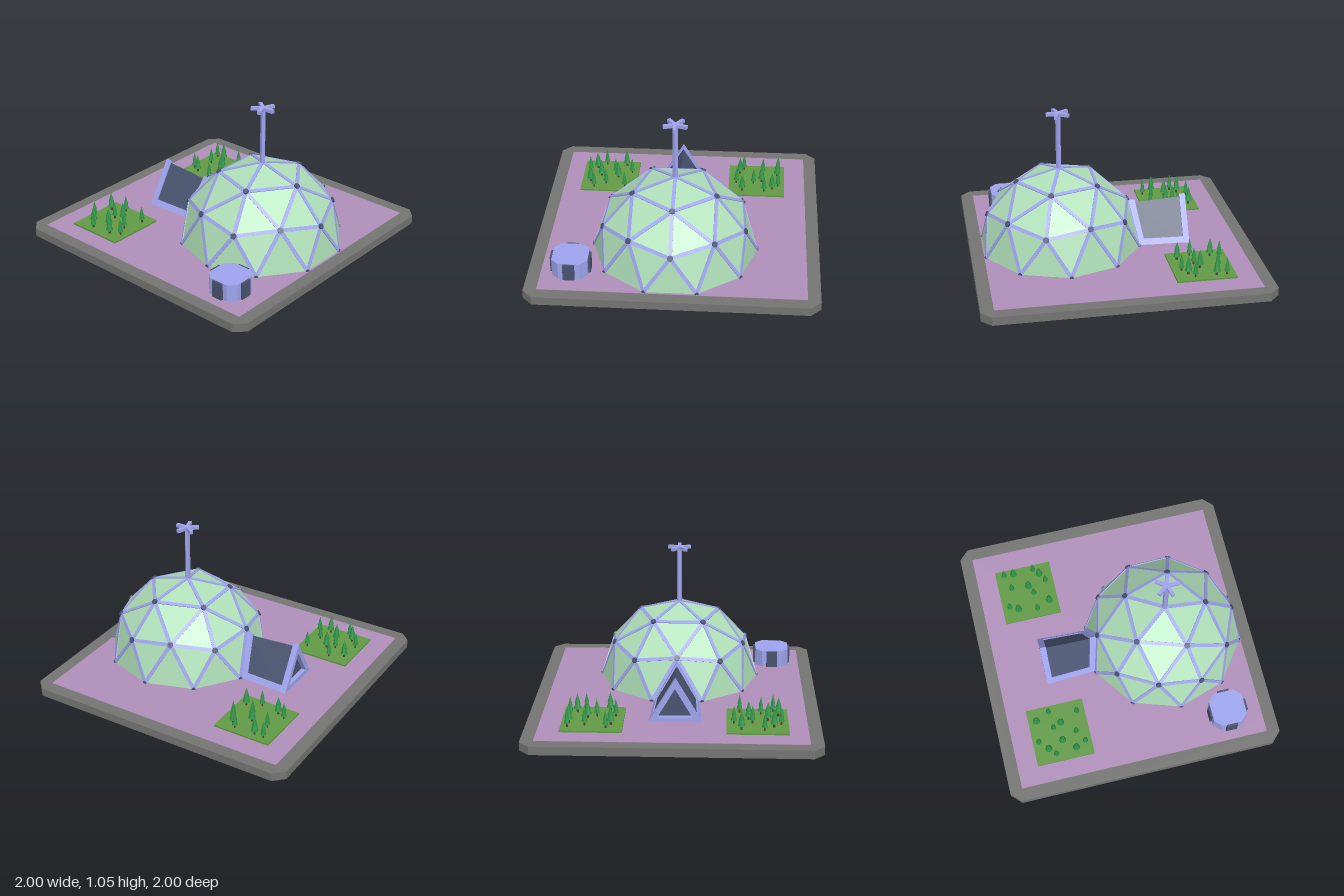
import * as THREE from 'three';
import { ConvexGeometry } from 'three/addons/geometries/ConvexGeometry.js';

const mat = (color) => new THREE.MeshStandardMaterial({ color, flatShading: true });
const M = {
  stone: mat(0x747472), ground: mat(0xb08fba), glass: mat(0xafdfb8), frame: mat(0x9ea4ee),
  dark: mat(0x49536f), lawn: mat(0x619a45), leaf: mat(0x2f9447), trunk: mat(0x5a4030),
};
const V = (x, y, z) => new THREE.Vector3(x, y, z);

function add(parent, name, geo, material, x = 0, y = 0, z = 0) {
  const mesh = new THREE.Mesh(geo, material);
  mesh.name = name;
  mesh.position.set(x, y, z);
  parent.add(mesh);
  return mesh;
}

function group(parent, name, x, y, z) {
  const g = new THREE.Group();
  g.name = name;
  g.position.set(x, y, z);
  parent.add(g);
  return g;
}

// Square slab with cut corners, standing on y = 0
function chamferedSlab(half, cut, height) {
  const a = half, b = half - cut;
  const pts = [[a, -b], [a, b], [b, a], [-b, a], [-a, b], [-a, -b], [-b, -a], [b, -a]];
  const shape = new THREE.Shape(pts.map((p) => new THREE.Vector2(...p)));
  return new THREE.ExtrudeGeometry(shape, { depth: height, bevelEnabled: false }).rotateX(-Math.PI / 2);
}

// Two-frequency geodesic hemisphere with struts on its edges and hubs at its corners
function buildDome(parent) {
  const R = 0.577;
  const dome = group(parent, 'dome', -0.01, 0.064, 0.35);
  const ring = (deg, height) => {
    const a = THREE.MathUtils.degToRad(deg), r = R * Math.sqrt(1 - height * height);
    return V(r * Math.sin(a), R * height, r * Math.cos(a));
  };
  const top = V(0, R, 0), verts = [top], faces = [];
  const upper = [], corner = [], between = [], foot = [];
  for (let k = 0; k < 5; k++) {
    upper.push(ring(72 * k, 0.851));
    corner.push(ring(72 * k, 0.447));
    between.push(ring(72 * k + 36, 0.526));
    foot.push(ring(72 * k - 18, 0), ring(72 * k + 18, 0));
  }
  verts.push(...upper, ...corner, ...between, ...foot);
  for (let k = 0; k < 5; k++) {
    const n = (k + 1) % 5, f0 = foot[2 * k], f1 = foot[2 * k + 1], f2 = foot[2 * n];
    faces.push([top, upper[k], upper[n]], [upper[k], between[k], upper[n]],
      [upper[k], corner[k], between[k]], [upper[n], between[k], corner[n]],
      [corner[k], f0, f1], [corner[k], f1, between[k]],
      [between[k], f1, f2], [between[k], f2, corner[n]]);
  }
  const panels = new THREE.BufferGeometry().setFromPoints(faces.flat());
  panels.computeVertexNormals();
  add(dome, 'domePanels', panels, M.glass).material.side = THREE.DoubleSide;

  const seen = new Set();
  for (const face of faces) {
    for (let i = 0; i < 3; i++) {
      const a = face[i], b = face[(i + 1) % 3];
      const key = [verts.indexOf(a), verts.indexOf(b)].sort((p, q) => p - q).join();
      if (seen.has(key) || (a.y < 0.01 && b.y < 0.01)) continue;
      seen.add(key);
      const along = b.clone().sub(a), mid = a.clone().add(b).multiplyScalar(0.5);
      const length = along.length();
      along.normalize();
      const out = mid.clone().normalize();
      const strut = add(dome, 'domeStrut', new THREE.BoxGeometry(0.025, length, 0.01), M.frame);
      strut.quaternion.setFromRotationMatrix(
        new THREE.Matrix4().makeBasis(along.clone().cross(out), along, out));
      strut.position.copy(mid).addScaledVector(out, -0.002);
    }
  }
  for (const v of verts.slice(1)) {
    const low = v.y < 0.01;
    const hub = add(dome, 'domeHub', new THREE.CylinderGeometry(low ? 0.014 : 0.021, low ? 0.014 : 0.021, 0.014, 8), M.dark);
    hub.position.copy(v);
    hub.quaternion.setFromUnitVectors(V(0, 1, 0), v.clone().normalize());
  }
}

// Mast with a five-armed star on top
function buildMast(parent) {
  const mast = group(parent, 'mast', -0.01, 0, 0.35);
  add(mast, 'mastPole', new THREE.CylinderGeometry(0.019, 0.019, 0.43, 5), M.frame, 0, 0.825, 0);
  for (let k = 0; k < 5; k++) {
    const arm = new THREE.BoxGeometry(0.024, 0.024, 0.085).translate(0, 0, 0.0425).rotateY(k * Math.PI * 0.4);
    add(mast, 'mastArm', arm, M.frame, 0, 1.042, 0);
  }
}

// A-frame entrance joining the back of the dome
function buildEntrance(parent) {
  const g = group(parent, 'entrance', -0.01, 0, 0);
  const tri = (w, y0, y1, zBase, zTop) => [V(-w, y0, zBase), V(w, y0, zBase), V(0, y1, zTop)];
  const hull = (name, material, ...sections) => add(g, name, new ConvexGeometry(sections.flat()), material);
  hull('entrancePanels', M.dark, tri(0.155, 0.065, 0.325, -0.2, -0.16), tri(0.17, 0.065, 0.348, -0.53, -0.53));
  hull('innerFrame', M.frame, tri(0.162, 0.06, 0.35, -0.19, -0.14), tri(0.164, 0.06, 0.35, -0.245, -0.195));
  for (const s of [-1, 1]) {
    const rail = [0.06, 0.1].flatMap((y) => [[-0.2, 0.164], [-0.55, 0.18]].flatMap(([z, w]) => {
      const x = w - (y - 0.06) * 0.57;
      return [V(s * x, y, z), V(s * (x - 0.03), y, z)];
    }));
    hull('entranceRail', M.frame, rail);
  }
  const shape = new THREE.Shape([[-0.182, 0.06], [0.182, 0.06], [0, 0.37]].map((p) => new THREE.Vector2(...p)));
  shape.holes.push(new THREE.Path([[-0.12, 0.095], [0, 0.3], [0.12, 0.095]].map((p) => new THREE.Vector2(...p))));
  add(g, 'doorFrame', new THREE.ExtrudeGeometry(shape, { depth: 0.042, bevelEnabled: false }), M.frame, 0, 0, -0.565);
}

// Small eight-sided hut with a door on each side
function buildHut(parent) {
  const hut = group(parent, 'hut', -0.706, 0.06, 0.661);
  add(hut, 'hutBody', chamferedSlab(0.123, 0.05, 0.125), M.frame);
  for (let k = 0; k < 4; k++) {
    const door = new THREE.BoxGeometry(0.08, 0.122, 0.03).translate(0, 0.061, 0.123).rotateY(k * Math.PI / 2);
    add(hut, 'hutDoor', door, M.dark);
  }
}

// Lawn planted with small conifers; each tree is [x, z, scale]
function buildGarden(parent, x, trees) {
  const garden = group(parent, 'garden', 0, 0, 0);
  add(garden, 'lawn', new THREE.BoxGeometry(0.42, 0.014, 0.42), M.lawn, x, 0.067, -0.555);
  for (const [tx, tz, s] of trees) {
    const tree = group(garden, 'tree', tx, 0.072, tz);
    tree.scale.set(s, 0.8 + 0.2 * s, s);
    add(tree, 'treeTrunk', new THREE.CylinderGeometry(0.007, 0.007, 0.04, 6), M.trunk, 0, 0.02, 0);
    add(tree, 'lowerLeaves', new THREE.ConeGeometry(0.022, 0.075, 8), M.leaf, 0, 0.067, 0);
    add(tree, 'upperLeaves', new THREE.ConeGeometry(0.017, 0.07, 8), M.leaf, 0, 0.1, 0);
  }
}

export function createModel() {
  const model = new THREE.Group();
  model.name = 'domeStation';
  add(model, 'base', chamferedSlab(1, 0.07, 0.06), M.stone);
  add(model, 'ground', new THREE.BoxGeometry(1.82, 0.01, 1.82), M.ground, 0, 0.057, 0);
  buildDome(model);
  buildMast(model);
  buildEntrance(model);
  buildHut(model);
  const S = 0.9, L = 1.2;
  buildGarden(model, -0.57, [
    [-0.615, -0.72, S], [-0.68, -0.66, L], [-0.73, -0.615, S], [-0.46, -0.705, L],
    [-0.41, -0.605, S], [-0.535, -0.595, S], [-0.64, -0.55, L], [-0.51, -0.535, L],
    [-0.715, -0.465, L], [-0.595, -0.44, S], [-0.68, -0.39, S], [-0.45, -0.405, S]]);
  buildGarden(model, 0.548, [
    [0.45, -0.71, S], [0.42, -0.65, L], [0.595, -0.665, S], [0.71, -0.7, S],
    [0.705, -0.63, L], [0.585, -0.54, L], [0.525, -0.51, S], [0.395, -0.51, S],
    [0.71, -0.48, S], [0.665, -0.44, L], [0.605, -0.405, S], [0.44, -0.41, L]]);
  return model;
}
